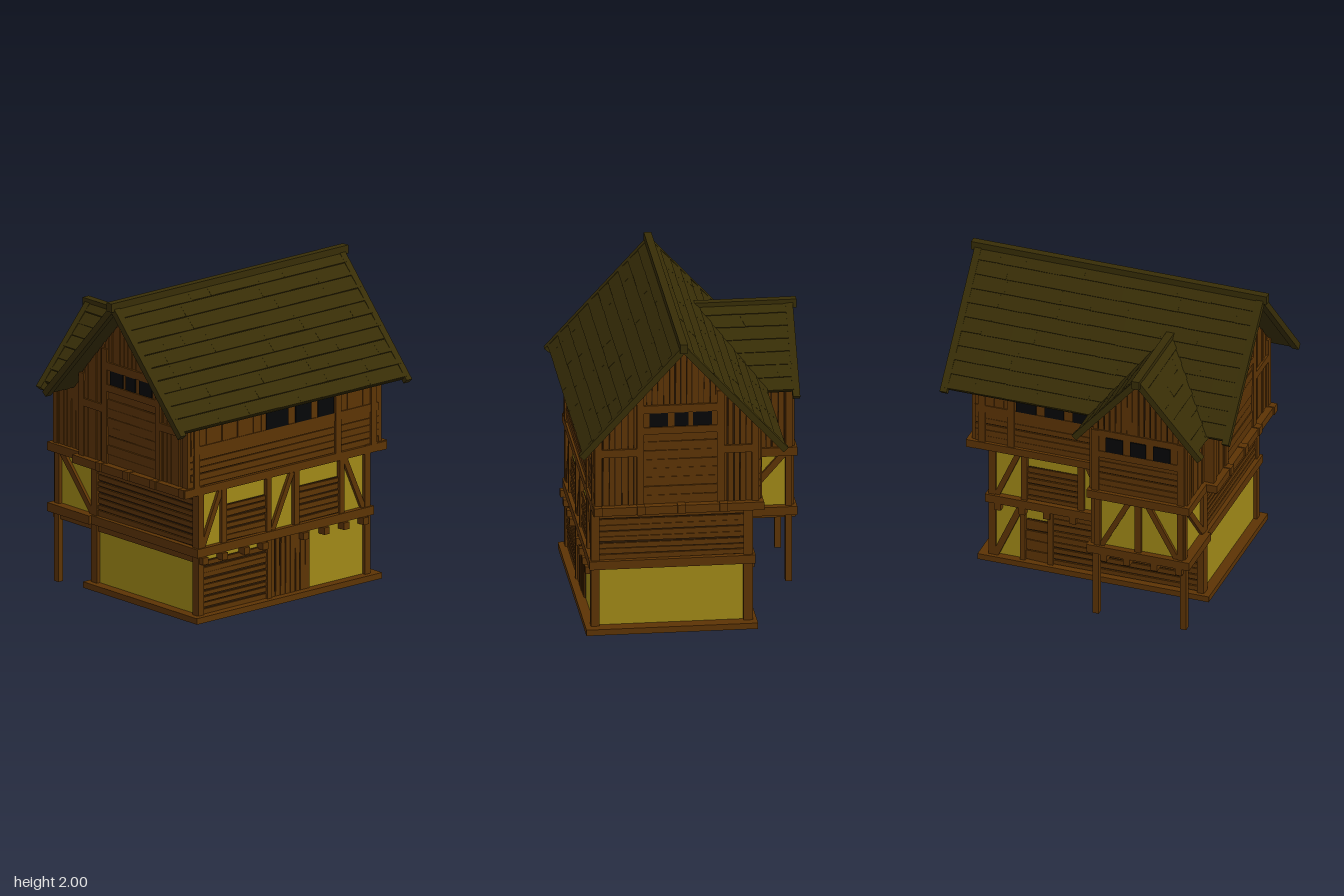
import * as THREE from 'three';
import { mergeGeometries } from 'three/addons/utils/BufferGeometryUtils.js';

const material = (name, color) => {
  const m = new THREE.MeshStandardMaterial({ color });
  m.name = name;
  return m;
};

export function createModel() {
  const wood = material('timber', 0x5c3304);
  const gap = material('dark timber gap', 0x2a1804);
  const plaster = material('ochre plaster', 0x9f8817);
  const shingle = material('roof shingle', 0x372d06);
  const glass = material('dark window', 0x050607);

  const house = new THREE.Group();
  house.name = 'timberHouse';
  let seed = 7;
  const rnd = (a) => {
    seed = (seed * 16807) % 2147483647;
    return (seed / 2147483647 - 0.5) * 2 * a;
  };

  const add = (parent, name, geometry, mat) => {
    const mesh = new THREE.Mesh(geometry, mat);
    mesh.name = name;
    parent.add(mesh);
    return mesh;
  };
  // Box given by its limits
  const block = (name, x0, x1, y0, y1, z0, z1, mat = wood) =>
    add(house, name, new THREE.BoxGeometry(x1 - x0, y1 - y0, z1 - z0)
      .translate((x0 + x1) / 2, (y0 + y1) / 2, (z0 + z1) / 2), mat);
  // Wall frame: local x along the wall, y up, z outwards
  const frame = (name, x, y, z, yaw, tilt = 0) => {
    const g = new THREE.Group();
    g.name = name;
    g.position.set(x, y, z);
    g.rotation.set(-tilt, yaw, 0, 'YXZ');
    house.add(g);
    return g;
  };
  // Straight timber between two points of a wall
  const bar = (g, name, u0, v0, u1, v1, w = 0.045, t = 0.025, z = 0, mat = wood) =>
    add(g, name, new THREE.BoxGeometry(Math.hypot(u1 - u0, v1 - v0), w, t)
      .rotateZ(Math.atan2(v1 - v0, u1 - u0))
      .translate((u0 + u1) / 2, (v0 + v1) / 2, z + t / 2), mat);
  const prism = (pts, depth) => new THREE.ExtrudeGeometry(
    new THREE.Shape(pts.map((p) => new THREE.Vector2(...p))), { depth, bevelEnabled: false });

  // Boards with uneven gaps over a dark backing; top(u) trims them under a roof
  const planks = (g, name, ua, ub, v0, v1, n, rough, vertical = false, top = () => 9) => {
    const u0 = Math.min(ua, ub), u1 = Math.max(ua, ub);
    const boards = [], backs = [];
    const trim = (u) => Math.min(v1, top(u));
    const e = () => rough + rnd(rough);
    for (let i = 0; i < n; i++) {
      if (vertical) {
        const a = u0 + ((u1 - u0) * i) / n, b = u0 + ((u1 - u0) * (i + 1)) / n;
        if (Math.min(trim(a), trim(b)) < v0 + 0.01) continue;
        boards.push(prism([[a + e(), v0], [b - e(), v0], [b - e(), trim(b)], [a + e(), trim(a)]], 0.013 + rnd(0.003)));
        backs.push(prism([[a, v0], [b, v0], [b, trim(b)], [a, trim(a)]], 0.004));
      } else {
        const a = v0 + ((v1 - v0) * i) / n, b = v0 + ((v1 - v0) * (i + 1)) / n;
        boards.push(prism([[u0, a + e()], [u1, a + e()], [u1, b - e()], [u0, b - e()]], 0.013 + rnd(0.003)));
        backs.push(prism([[u0, a], [u1, a], [u1, b], [u0, b]], 0.004));
      }
    }
    add(g, name, mergeGeometries(boards), wood);
    add(g, name + 'Backing', mergeGeometries(backs), gap);
  };
  const ROUGH = 0.004, MEDIUM = 0.0025, FINE = 0.0013;
  const windows = (g, s, list, v0, v1) => list.forEach(([a, b]) =>
    bar(g, 'window', s * a, (v0 + v1) / 2, s * b, (v0 + v1) / 2, v1 - v0, 0.008, 0.015, glass));

  // Roof lines (undersides)
  const mainTop = (x) => 1.93 - Math.abs(x - 0.1) * 1.089;
  const wingTop = (z) => 1.69 - Math.abs(z - 0.41) * 1.169;

  // Solid cores
  block('floorSlab', -0.37, 0.67, 0.03, 0.05, -0.745, 0.745, plaster);
  block('groundFloorWalls', -0.33, 0.62, 0.05, 0.45, -0.67, 0.69, plaster);
  block('middleFloorWalls', -0.33, 0.62, 0.45, 0.86, -0.67, 0.69, plaster);
  block('wingMiddleWalls', -0.68, -0.33, 0.46, 0.86, 0.125, 0.69, plaster);
  add(house, 'upperFloorCore', prism([[-0.38, 0.85], [0.62, 0.85], [0.62, mainTop(0.62)],
    [0.1, mainTop(0.1)], [-0.38, mainTop(-0.38)]], 1.53).translate(0, 0, -0.765), wood);
  add(house, 'wingUpperCore', prism([[0.11, 0.85], [0.71, 0.85], [0.71, wingTop(0.71)],
    [0.41, wingTop(0.41)], [0.11, wingTop(0.11)]], 0.5).rotateY(-Math.PI / 2).translate(-0.18, 0, 0), wood);

  // Sills, floor bands and joists
  for (const s of [-1, 1]) {
    const zBox = (name, x0, x1, y0, y1, a, b) =>
      block(name, x0, x1, y0, y1, Math.min(s * a, s * b), Math.max(s * a, s * b));
    zBox('sill', -0.38, 0.68, 0.032, 0.07, 0.67, 0.755);
    zBox('middleBand', s > 0 ? -0.72 : -0.37, 0.655, 0.445, 0.5, 0.66, s > 0 ? 0.73 : 0.71);
    zBox('upperBand', -0.41, 0.645, 0.838, 0.89, 0.76, 0.82);
    for (const x of [-0.16, 0.1, 0.35, 0.615]) zBox('jettyJoist', x - 0.025, x + 0.025, 0.84, 0.895, 0.66, 0.83);
  }
  block('sillLeft', 0.6, 0.68, 0.032, 0.07, -0.755, 0.755);
  block('sillRight', -0.38, -0.31, 0.032, 0.07, -0.755, 0.755);
  block('middleBandLeft', 0.6, 0.655, 0.445, 0.5, -0.7, 0.72);
  block('middleBandRight', -0.37, -0.32, 0.445, 0.5, -0.7, 0.72);
  block('upperBandLeft', 0.6, 0.645, 0.84, 0.89, -0.81, 0.81);
  block('upperBandRight', -0.41, -0.36, 0.84, 0.89, -0.81, 0.81);
  block('wingFloor', -0.68, -0.33, 0.45, 0.47, 0.13, 0.7);
  for (const y of [0.445, 0.835]) {
    block('wingEndBand', -0.72, -0.665, y, y + 0.055, 0.08, 0.75);
    block('wingBackBand', -0.72, -0.33, y, y + 0.055, 0.08, 0.13);
    block('wingFrontBand', -0.72, -0.33, y, y + 0.055, 0.69, 0.75);
  }
  for (const z of [0.68, 0.52, 0.34, 0.19, -0.14, -0.31, -0.47, -0.63])
    block('floorJoist', z > 0.1 ? -0.72 : -0.37, 0.675, 0.4, 0.445, z - 0.022, z + 0.022);
  for (const z of [0.13, 0.7]) block('wingPost', -0.69, -0.65, 0, 0.45, z - 0.02, z + 0.02);

  // Front and back: lower storeys and the big gables
  for (const s of [1, -1]) {
    const yaw = s > 0 ? 0 : Math.PI;
    const low = frame('lowerGableWall', 0, 0, s > 0 ? 0.69 : -0.67, yaw);
    for (const x of [-0.32, 0.615]) {
      bar(low, 'cornerPost', s * x, 0.07, s * x, 0.84, 0.045, 0.025);
    }
    planks(low, 'middleBoards', s * -0.3, s * 0.595, 0.5, 0.84, 9, ROUGH);

    const g = frame('gableWall', 0, 0, s * 0.765, yaw);
    const top = (u) => mainTop(s * u);
    planks(g, 'gableSideBoards', s * -0.38, s * -0.15, 0.89, 2, 6, MEDIUM, true, top);
    planks(g, 'gableSideBoards', s * 0.35, s * 0.62, 0.89, 2, 7, MEDIUM, true, top);
    planks(g, 'gableCentreBoards', s * -0.13, s * 0.33, 0.89, 1.36, 8, FINE);
    planks(g, 'gableTopBoards', s * -0.15, s * 0.35, 1.53, 2, 14, MEDIUM, true, top);
    bar(g, 'windowPanel', s * -0.13, 1.45, s * 0.33, 1.45, 0.18, 0.015);
    windows(g, s, [[-0.09, 0.025], [0.055, 0.14], [0.18, 0.295]], 1.4, 1.49);
    bar(g, 'windowRail', s * -0.13, 1.375, s * 0.33, 1.375, 0.045);
    bar(g, 'windowRail', s * -0.13, 1.515, s * 0.33, 1.515, 0.05);
    for (const x of [-0.145, 0.35]) bar(g, 'gablePost', s * x, 0.89, s * x, 1.62);
    for (const x of [-0.36, 0.61]) bar(g, 'cornerPost', s * x, 0.89, s * x, mainTop(x) - 0.01);
    bar(g, 'crossRail', s * -0.36, 1.235, s * -0.145, 1.235, 0.05);
    bar(g, 'crossRail', s * 0.35, 1.235, s * 0.605, 1.235, 0.05);
  }

  // Long sides: s turns a z position into the wall's own direction
  for (const s of [-1, 1]) {
    const yaw = (-s * Math.PI) / 2, left = s < 0;
    const g = frame(left ? 'leftLowerWall' : 'rightLowerWall', left ? 0.62 : -0.33, 0, 0, yaw);
    for (const z of [0.69, -0.67]) bar(g, 'cornerPost', s * z, 0.07, s * z, 0.84);
    if (left) {
      planks(g, 'groundBoards', s * 0.67, s * 0.15, 0.07, 0.41, 9, ROUGH);
      bar(g, 'doorPost', s * 0.13, 0.07, s * 0.13, 0.445, 0.035);
      planks(g, 'door', s * 0.115, s * -0.21, 0.07, 0.44, 8, ROUGH, true);
    } else {
      planks(g, 'groundBoards', s * 0.67, s * -0.28, 0.07, 0.44, 9, ROUGH);
      planks(g, 'door', s * -0.3, s * -0.45, 0.07, 0.36, 4, ROUGH);
      for (const z of [-0.29, -0.47]) bar(g, 'doorPost', s * z, 0.07, s * z, 0.445, 0.035);
      bar(g, 'brace', s * -0.65, 0.07, s * -0.49, 0.43, 0.04);
    }
    for (const z of [0.5, 0.135, -0.09, -0.46]) bar(g, 'stud', s * z, 0.5, s * z, 0.84, 0.04);
    for (const [a, b] of [[0.67, 0.52], [0.1, -0.06], [-0.64, -0.49]]) bar(g, 'brace', s * a, 0.5, s * b, 0.84, 0.035, 0.02);
    planks(g, 'middleBoards', s * 0.48, s * 0.155, 0.5, 0.735, 6, ROUGH);
    planks(g, 'middleBoards', s * -0.11, s * -0.44, 0.5, 0.735, 6, ROUGH);

    const up = frame(left ? 'leftUpperWall' : 'rightUpperWall', left ? 0.62 : -0.38, 0, 0, yaw);
    const end = left ? 0.765 : 0.11, eave = left ? 1.36 : 1.4;
    planks(up, 'upperBoards', s * -0.765, s * end, 0.89, 1.1, 5, MEDIUM);
    planks(up, 'eaveBoards', s * -0.765, s * end, 1.15, eave, left ? 24 : 14, FINE, true);
    bar(up, 'upperRail', s * -0.765, 1.125, s * end, 1.125, 0.05, 0.02);
    const shift = left ? 0 : -0.1;
    bar(up, 'windowPanel', s * (0.17 + shift), 1.225, s * (-0.41 + shift), 1.225, 0.15, 0.015);
    windows(up, s, [[0.155, -0.025], [-0.085, -0.21], [-0.265, -0.395]].map((w) => w.map((z) => z + shift)), 1.15, 1.28);
    for (const z of left ? [0.72, -0.43, -0.72] : [-0.53, -0.72]) bar(up, 'upperPost', s * z, 0.89, s * z, eave - 0.01);
  }

  // Side wing: front and back faces
  for (const s of [1, -1]) {
    const yaw = s > 0 ? 0 : Math.PI;
    const low = frame('wingLowerWall', 0, 0, s > 0 ? 0.69 : 0.125, yaw);
    bar(low, 'wingCornerPost', s * -0.67, 0.49, s * -0.67, 0.84, 0.04);
    bar(low, 'wingBrace', s * -0.64, 0.84, s * -0.35, 0.51, 0.04, 0.02);
    const up = frame('wingUpperWall', 0, 0, s > 0 ? 0.71 : 0.11, yaw);
    planks(up, 'wingBoards', s * -0.68, s * -0.37, 0.89, 1.33, 8, MEDIUM, true);
    bar(up, 'wingCornerPost', s * -0.67, 0.89, s * -0.67, 1.32, 0.04, 0.02);
  }
  // Side wing: outer gable
  const wl = frame('wingEndLower', -0.68, 0, 0, -Math.PI / 2);
  for (const z of [0.145, 0.41, 0.685]) bar(wl, 'wingStud', z, 0.49, z, 0.84, 0.04);
  bar(wl, 'wingBrace', 0.17, 0.5, 0.35, 0.84, 0.035, 0.02);
  bar(wl, 'wingBrace', 0.66, 0.5, 0.47, 0.84, 0.035, 0.02);
  const wu = frame('wingEndUpper', -0.68, 0, 0, -Math.PI / 2);
  planks(wu, 'wingEndBoards', 0.11, 0.71, 0.89, 1.14, 6, MEDIUM);
  planks(wu, 'wingGableBoards', 0.11, 0.71, 1.14, 2, 16, MEDIUM, true, wingTop);
  bar(wu, 'windowPanel', 0.16, 1.225, 0.66, 1.225, 0.13, 0.015);
  windows(wu, 1, [[0.2, 0.31], [0.36, 0.46], [0.51, 0.62]], 1.175, 1.275);
  for (const y of [1.15, 1.3]) bar(wu, 'wingRail', 0.13, y, 0.69, y, 0.045, 0.02);
  for (const z of [0.13, 0.69]) bar(wu, 'wingCornerPost', z, 0.89, z, 1.32);

  // One roof slope: staggered shingle rows on a slab; ends(v) gives the row limits
  const slope = (name, x, y, z, yaw, run, drop, rows, ends, barges, tip) => {
    const len = Math.hypot(run, drop);
    const g = frame(name, x, y, z, yaw, Math.atan2(run, drop));
    const [a0, b0] = ends(0), [a1, b1] = ends(-len);
    add(g, 'roofSlab', prism([[a1, -len], [b1, -len], [b0, 0], [a0, 0]], 0.023).translate(0, 0, -0.022), shingle);
    const tiles = [];
    for (let r = 0; r < rows; r++) {
      const vt = (-len * r) / rows, vb = (-len * (r + 1)) / rows;
      const [ta, tb] = ends(vt), [ba, bb] = ends(vb);
      const at = (lo, hi, t) => lo + (hi - lo) * t;
      let cut = 0;
      while (cut < 1) {
        let next = cut + (0.2 + rnd(0.06)) / (bb - ba);
        if (next > 0.94) next = 1;
        tiles.push(prism([
          [at(ba, bb, cut), vb + 0.002 + rnd(0.002)], [at(ba, bb, next), vb + 0.002 + rnd(0.002)],
          [at(ta, tb, next), vt], [at(ta, tb, cut), vt]], 0.008)
          .translate(0, -vt, 0).rotateX(-0.06 + rnd(0.015)).translate(0, vt, 0.001));
        cut = next;
      }
    }
    add(g, 'shingles', mergeGeometries(tiles), shingle);
    for (const u of barges) bar(g, 'bargeBoard', u, 0, u, -len - tip, 0.045, 0.04, -0.026, shingle);
  };
  for (const s of [1, -1])
    slope('mainRoof', 0.1, 1.968, 0, (s * Math.PI) / 2, 0.618, 0.673, 10, () => [-0.92, 0.92], [-0.92, 0.92], 0.025);
  const sin = 0.45 / Math.hypot(0.385, 0.45);
  const valley = (v) => 0.12 - (1.968 - (1.73 + v * sin)) * 0.918;
  slope('wingRoofFront', 0, 1.73, 0.41, 0, 0.385, 0.445, 7, (v) => [-0.705, valley(v)], [-0.705], 0.045);
  slope('wingRoofBack', 0, 1.73, 0.41, Math.PI, 0.385, 0.445, 7, (v) => [-valley(v), 0.705], [0.705], 0.045);
  block('mainRidge', 0.078, 0.125, 1.945, 2, -0.965, 0.965, shingle);
  block('wingRidge', -0.75, -0.12, 1.69, 1.745, 0.385, 0.435, shingle);

  return house;
}
